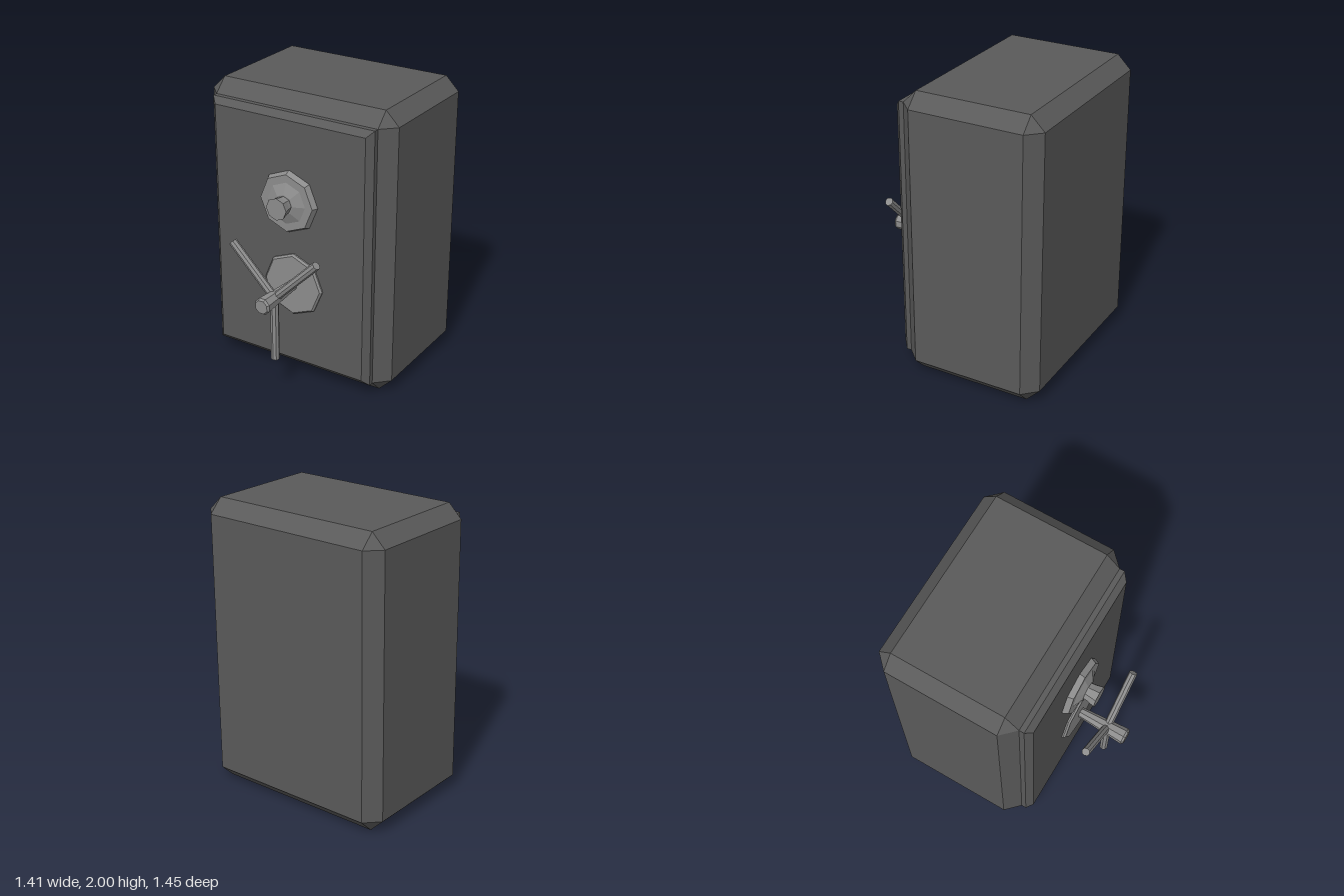
import * as THREE from 'three';
import { ConvexGeometry } from 'three/addons/geometries/ConvexGeometry.js';

const steel = new THREE.MeshStandardMaterial({ color: 0x5a5a5a, flatShading: true });
const bright = new THREE.MeshStandardMaterial({ color: 0x8c8c8c, flatShading: true });

function add(parent, name, geometry, material, x = 0, y = 0, z = 0) {
  const mesh = new THREE.Mesh(geometry, material);
  mesh.name = name;
  mesh.position.set(x, y, z);
  parent.add(mesh);
  return mesh;
}

// Box with every edge and corner cut off by c
function chamferedBox(w, h, d, c) {
  const points = [];
  for (const sx of [-1, 1]) for (const sy of [-1, 1]) for (const sz of [-1, 1]) {
    for (let axis = 0; axis < 3; axis++) {
      const half = [w / 2 - c, h / 2 - c, d / 2 - c];
      half[axis] += c;
      points.push(new THREE.Vector3(sx * half[0], sy * half[1], sz * half[2]));
    }
  }
  return new ConvexGeometry(points);
}

// Slab whose front edges are bevelled
function bevelledSlab(w, h, z0, z1, z2, inset) {
  const points = [];
  for (const [z, i] of [[z0, 0], [z1, 0], [z2, inset]])
    for (const sx of [-1, 1]) for (const sy of [-1, 1])
      points.push(new THREE.Vector3(sx * (w / 2 - i), sy * (h / 2 - i), z));
  return new ConvexGeometry(points);
}

// Eight-sided turned part along +z, from [radius, z] pairs
function turned(profile, phase = 0) {
  const points = profile.map(([r, z]) => new THREE.Vector2(r, z));
  return new THREE.LatheGeometry(points, 8, phase).rotateX(Math.PI / 2);
}

export function createModel() {
  const safe = new THREE.Group();
  safe.name = 'safe';

  add(safe, 'cabinet', chamferedBox(1.41, 2, 0.985, 0.095), steel, 0, 1, -0.2275);
  add(safe, 'door', bevelledSlab(1.22, 1.81, 0.26, 0.30, 0.34, 0.042), steel, 0, 1, 0);

  // Combination dial: stepped base and flared knob
  const dial = new THREE.Group();
  dial.name = 'dial';
  dial.position.set(0.008, 1.31, 0);
  safe.add(dial);
  add(dial, 'dialBase', turned([[0.217, 0.335], [0.217, 0.345], [0.2, 0.38], [0.145, 0.38], [0.07, 0.41], [0, 0.41]]), bright);
  add(dial, 'dialKnob', turned([[0.06, 0.4], [0.064, 0.44], [0.077, 0.494], [0, 0.494]]), bright);

  // Three-spoke handle on a round plate
  const handle = new THREE.Group();
  handle.name = 'handle';
  handle.position.set(0.04, 0.717, 0);
  safe.add(handle);
  add(handle, 'handlePlate', turned([[0.225, 0.335], [0.225, 0.35], [0.212, 0.363], [0, 0.363]]), bright);
  add(handle, 'handleHub', turned([[0.035, 0.34], [0.06, 0.71], [0.048, 0.725], [0, 0.725]], Math.PI / 8), bright);
  for (const angle of [Math.PI / 4, -Math.PI / 4, Math.PI]) {
    const spoke = new THREE.CylinderGeometry(0.029, 0.029, 0.44, 8).translate(0, 0.238, 0);
    add(handle, 'spoke', spoke, bright, 0, 0, 0.573).rotation.z = angle;
  }
  return safe;
}
